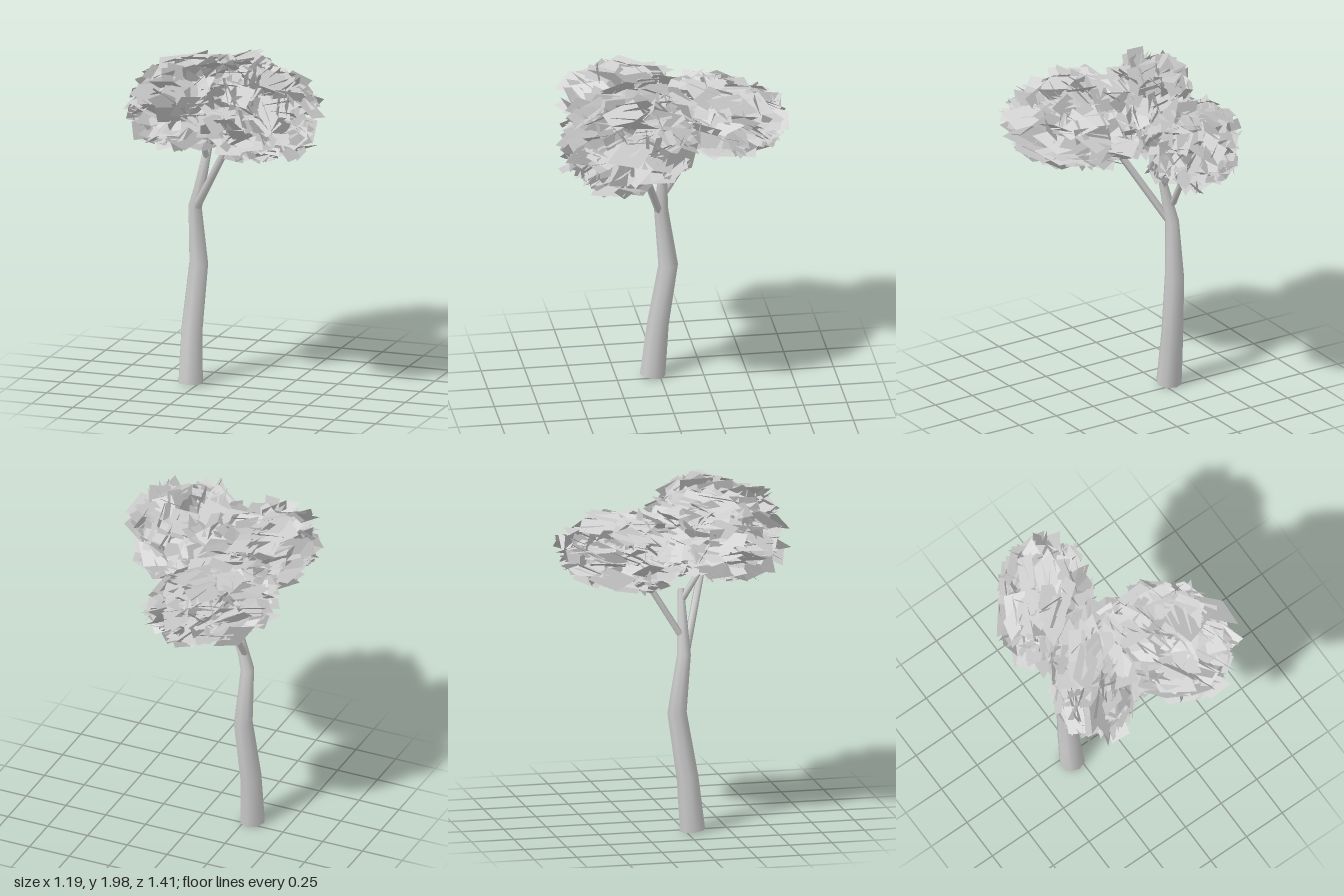
import * as THREE from 'three';

const material = new THREE.MeshStandardMaterial({ color: 0xcccccc, side: THREE.DoubleSide });
const leafMaterial = new THREE.MeshStandardMaterial({ color: 0xcccccc, side: THREE.DoubleSide, flatShading: true });

function seeded(seed) {
  let s = seed;
  return () => {
    s = (s * 1664525 + 1013904223) % 4294967296;
    return s / 4294967296;
  };
}

// Tapered limb: rings of `sides` points along stops of [x, y, z, radius], closed by flat caps
function limb(name, stops, sides) {
  const group = new THREE.Group();
  group.name = name;
  const centres = stops.map(([x, y, z]) => new THREE.Vector3(x, y, z));
  const up = new THREE.Vector3(0, 1, 0);
  const rings = stops.map((stop, i) => {
    const dir = centres[Math.min(i + 1, stops.length - 1)].clone().sub(centres[Math.max(i - 1, 0)]).normalize();
    const turn = new THREE.Quaternion().setFromUnitVectors(up, dir);
    return Array.from({ length: sides }, (_, k) => {
      const a = (k / sides) * Math.PI * 2;
      return new THREE.Vector3(Math.sin(a), 0, Math.cos(a)).multiplyScalar(stop[3]).applyQuaternion(turn).add(centres[i]);
    });
  });

  const index = [];
  for (let i = 0; i < rings.length - 1; i++) {
    for (let k = 0; k < sides; k++) {
      const a = i * sides + k, b = i * sides + (k + 1) % sides;
      index.push(a, b, b + sides, a, b + sides, a + sides);
    }
  }
  const bark = new THREE.BufferGeometry().setFromPoints(rings.flat());
  bark.setIndex(index);
  bark.computeVertexNormals();
  const barkMesh = new THREE.Mesh(bark, material);
  barkMesh.name = name + 'Bark';
  group.add(barkMesh);

  [[...rings[0]].reverse(), rings[rings.length - 1]].forEach((ring, e) => {
    const cap = new THREE.BufferGeometry().setFromPoints(ring);
    const fan = [];
    for (let k = 1; k < sides - 1; k++) fan.push(0, k, k + 1);
    cap.setIndex(fan);
    cap.computeVertexNormals();
    const mesh = new THREE.Mesh(cap, material);
    mesh.name = name + (e ? 'TopCap' : 'BottomCap');
    group.add(mesh);
  });
  return group;
}

// Distance from the centre of a slightly boxy unit ball
const POWER = 2.2;
const reachOf = (p) =>
  Math.pow(Math.abs(p.x) ** POWER + Math.abs(p.y) ** POWER + Math.abs(p.z) ** POWER, 1 / POWER);

// Crown: randomly turned leaves, drawn out along the crown's length, filling a stretched ball
function leafCluster(name, { centre, size, turn, count, seed }) {
  const rnd = seeded(seed);
  const positions = [];
  for (let i = 0; i < count; i++) {
    const h = rnd() * 2 - 1, a = rnd() * Math.PI * 2, r = 0.9 * Math.pow(rnd(), 0.4);
    const flat = Math.sqrt(1 - h * h);
    const mid = new THREE.Vector3(flat * Math.cos(a), h, flat * Math.sin(a));
    mid.multiplyScalar(r / reachOf(mid));
    const spin = new THREE.Quaternion().setFromEuler(
      new THREE.Euler(rnd() * Math.PI * 2, Math.asin(rnd() * 2 - 1), rnd() * Math.PI * 2));
    const half = 0.13 + 0.11 * rnd();
    const corners = [[-1, -1], [1, -1], [1, 1], [-1, 1]].map(([x, y]) => {
      const corner = new THREE.Vector3(x * half, y * half, 0).applyQuaternion(spin);
      corner.x *= 1.3;
      return corner.add(mid);
    });
    // pull leaves that stick out back inside, by a varying amount for a ragged edge
    const limit = 0.9 + 0.18 * rnd();
    const reach = Math.max(...corners.map(reachOf));
    if (reach > limit) {
      const shift = mid.clone().multiplyScalar((reach - limit) / reachOf(mid));
      corners.forEach((c) => c.sub(shift));
    }
    for (const k of [0, 1, 2, 0, 2, 3]) positions.push(...corners[k].toArray());
  }
  const geometry = new THREE.BufferGeometry();
  geometry.setAttribute('position', new THREE.Float32BufferAttribute(positions, 3));
  geometry.scale(...size);
  geometry.rotateY(turn);
  geometry.translate(...centre);
  geometry.computeVertexNormals();
  const mesh = new THREE.Mesh(geometry, leafMaterial);
  mesh.name = name;
  return mesh;
}

export function createModel() {
  const tree = new THREE.Group();
  tree.name = 'tree';

  // Crooked trunk, thinning into the crown
  tree.add(limb('trunk', [
    [-0.29, 0.009, 0.04, 0.074],
    [-0.293, 0.32, 0.01, 0.064],
    [-0.272, 0.7, -0.047, 0.057],
    [-0.28, 1.04, -0.008, 0.041],
    [-0.192, 1.41, -0.005, 0.018],
  ], 8));

  // Branches reaching into each crown
  tree.add(limb('frontLeftBranch', [[-0.262, 1.05, 0.008, 0.024], [-0.005, 1.5, 0.165, 0.022]], 5));
  tree.add(limb('backBranch', [[-0.272, 1.16, -0.03, 0.02], [-0.25, 1.52, -0.25, 0.018]], 5));
  tree.add(limb('frontRightBranch', [[-0.208, 1.35, 0, 0.02], [-0.21, 1.56, 0.13, 0.017]], 5));

  // Three leafy crowns
  tree.add(leafCluster('backCrown',
    { centre: [-0.215, 1.65, -0.335], size: [0.42, 0.235, 0.29], turn: 0.88, count: 400, seed: 11 }));
  tree.add(leafCluster('frontRightCrown',
    { centre: [-0.225, 1.715, 0.19], size: [0.43, 0.285, 0.285], turn: 0.95, count: 400, seed: 23 }));
  tree.add(leafCluster('frontLeftCrown',
    { centre: [0.195, 1.695, 0.24], size: [0.45, 0.28, 0.36], turn: -0.95, count: 400, seed: 37 }));

  return tree;
}
